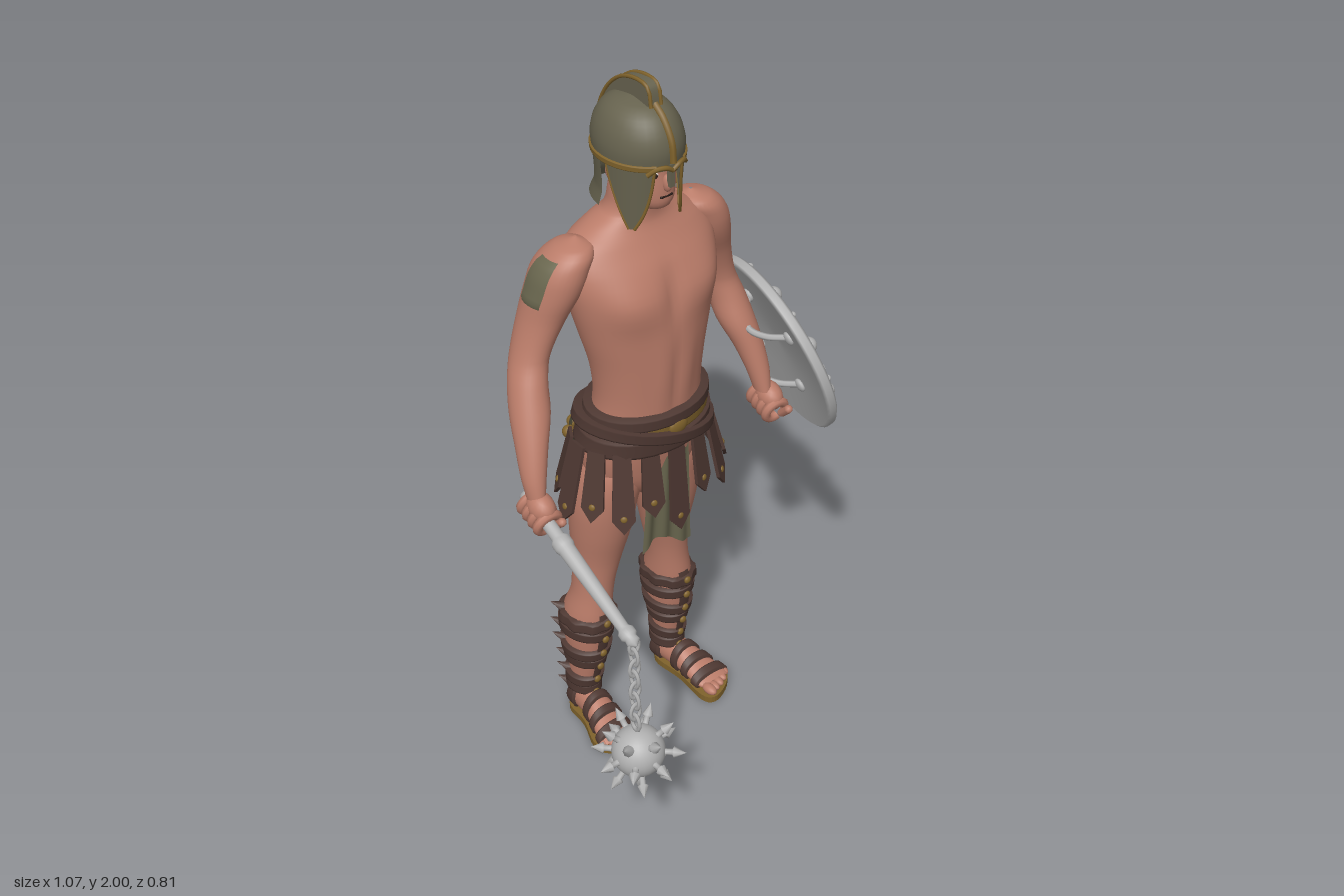
import * as THREE from 'three';

const mat = (name, color, double) => {
  const m = new THREE.MeshStandardMaterial({ color });
  m.name = name;
  if (double) m.side = THREE.DoubleSide;
  return m;
};
const skin = mat('skin', 0xba7c69), bronze = mat('dull bronze', 0x67634f, true), gold = mat('old gold', 0x80632c, true),
  leather = mat('leather', 0x4e3832, true), cloth = mat('olive cloth', 0x6a674f, true), steel = mat('steel', 0xb2b2b2),
  white = mat('eye white', 0xd9d2ca), dark = mat('dark', 0x2c1e1a);

const V = (x, y, z) => new THREE.Vector3(x, y, z);
const bell = (x, c, w) => Math.exp(-(((x - c) / w) ** 2));

function add(parent, name, geo, material, x = 0, y = 0, z = 0) {
  const m = new THREE.Mesh(geo, material);
  m.name = name;
  m.position.set(x, y, z);
  parent.add(m);
  return m;
}

// Surface from a rule fn(u, v) -> [x, y, z]
function grid(fn, nu, nv, wrap = false) {
  const pos = [], idx = [], cols = wrap ? nu : nu + 1;
  for (let j = 0; j <= nv; j++) for (let i = 0; i < cols; i++) pos.push(...fn(i / nu, j / nv));
  for (let j = 0; j < nv; j++) for (let i = 0; i < nu; i++) {
    const k = (i + 1) % cols, a = j * cols + i, b = j * cols + k, c = b + cols, d = a + cols;
    idx.push(a, b, c, a, c, d);
  }
  const g = new THREE.BufferGeometry();
  g.setAttribute('position', new THREE.Float32BufferAttribute(pos, 3));
  g.setIndex(idx);
  g.computeVertexNormals();
  return g;
}

// Smooth cross-section [y, cx, cz, rx, rz] of a row list at height y
function at(rows, y) {
  let i = 0;
  while (i < rows.length - 2 && y > rows[i + 1][0]) i++;
  const p = rows[i], q = rows[i + 1], o = rows[i - 1] || p, r = rows[i + 2] || q;
  const h = q[0] - p[0], t = (y - p[0]) / h, t2 = t * t, t3 = t2 * t;
  return p.map((v, k) => {
    const m0 = (q[k] - o[k]) / (q[0] - o[0]) * h, m1 = (r[k] - v) / (r[0] - p[0]) * h;
    return v * (2 * t3 - 3 * t2 + 1) + m0 * (t3 - 2 * t2 + t) + q[k] * (3 * t2 - 2 * t3) + m1 * (t3 - t2);
  });
}

// Skin over elliptic sections; with y0/y1 it makes a raised band, with a0/a1 an open panel
function loft(rows, { y0, y1, off = 0, a0, a1, tilt = 0, bump, seg = 32 } = {}) {
  const ys = [];
  if (y0 !== undefined) for (let k = 0; k <= 10; k++) ys.push(y0 + (y1 - y0) * k / 10);
  else {
    for (let i = 0; i < rows.length - 1; i++) for (let k = 0; k < 4; k++) ys.push(rows[i][0] + (rows[i + 1][0] - rows[i][0]) * k / 4);
    ys.push(rows[rows.length - 1][0]);
  }
  const full = a0 === undefined, s = full ? -Math.PI : a0, e = full ? Math.PI : a1, n = ys.length - 1;
  return grid((u, v) => {
    const a = s + (e - s) * u, y = ys[Math.round(v * n)], [, cx, cz, rx, rz] = at(rows, y);
    const d = (bump ? bump(a, y) : 0) + off * Math.min(1, 5 * Math.sin(Math.PI * v));
    const x = cx + (Math.max(rx, 0.001) + d) * Math.sin(a);
    return [x, y + tilt * x, cz + (Math.max(rz, 0.001) + d) * Math.cos(a)];
  }, seg, n, full);
}

const tube = (pts, r) => new THREE.TubeGeometry(new THREE.CatmullRomCurve3(pts.map(p => V(...p))), 24, r, 6);
const ball = (r, sx = 1, sy = 1, sz = 1) => new THREE.SphereGeometry(r, 16, 12).scale(sx, sy, sz);
const lathe = (pts, n = 24) => new THREE.LatheGeometry(pts.map(p => new THREE.Vector2(...p)), n);
const shift = (rows, s, fn = y => 0) => rows.map(r => [r[0], s * (r[1] + fn(r[0])), ...r.slice(2)]);
const aim = (obj, from, dir) => obj.quaternion.setFromUnitVectors(from, dir.clone().normalize());

const torsoRows = [[.79, 0, -.22, .03, .05], [.86, 0, -.22, .14, .11], [.95, 0, -.21, .175, .125], [1.05, 0, -.19, .163, .12],
  [1.15, 0, -.175, .153, .113], [1.25, 0, -.173, .163, .118], [1.35, 0, -.18, .188, .128], [1.45, 0, -.19, .212, .132],
  [1.53, 0, -.205, .222, .12], [1.59, 0, -.22, .2, .1], [1.63, 0, -.22, .135, .08], [1.66, 0, -.21, .085, .068],
  [1.72, 0, -.2, .072, .066], [1.78, 0, -.19, .06, .06]];
const armRows = [[1.0, .405, -.115, .02, .028], [1.06, .395, -.135, .031, .035], [1.13, .375, -.165, .04, .045], [1.2, .35, -.2, .05, .055],
  [1.27, .33, -.23, .048, .055], [1.33, .305, -.25, .047, .056], [1.42, .265, -.25, .056, .068], [1.5, .235, -.235, .066, .08],
  [1.56, .215, -.225, .066, .078], [1.605, .19, -.215, .05, .055], [1.625, .18, -.215, .004, .004]];
const legRows = [[.06, .155, -.295, .036, .045], [.12, .155, -.295, .036, .045], [.2, .152, -.287, .044, .055], [.3, .148, -.283, .058, .072],
  [.38, .145, -.278, .062, .077], [.46, .135, -.265, .056, .064], [.52, .128, -.262, .058, .066], [.6, .119, -.256, .068, .074],
  [.7, .113, -.245, .083, .09], [.8, .108, -.235, .09, .1], [.9, .093, -.225, .086, .105], [.98, .085, -.215, .05, .07]];
const footRows = [[-.347, .155, -.035, .004, .008], [-.335, .155, -.042, .028, .03], [-.29, .158, -.055, .038, .045], [-.23, .163, -.055, .04, .045],
  [-.17, .172, -.042, .047, .03], [-.12, .18, -.032, .053, .018], [-.1, .182, -.03, .045, .012]];
const headRows = [[1.672, 0, -.14, .008, .01], [1.69, 0, -.152, .045, .056], [1.73, 0, -.17, .066, .082], [1.79, 0, -.188, .075, .096],
  [1.86, 0, -.2, .08, .105], [1.92, 0, -.2, .04, .05]];
const domeRows = [[1.8, 0, -.195, .1, .124], [1.85, 0, -.195, .101, .128], [1.9, 0, -.195, .086, .11], [1.935, 0, -.195, .054, .07], [1.95, 0, -.195, .004, .004]];

// Muscle relief of chest, abdomen, back and seat
function muscles(a, y) {
  const b = Math.abs(a), back = Math.PI;
  return bell(y, 1.46, .065) * (.016 * bell(b, .55, .38) - .012 * bell(b, 0, .12))
    + bell(y, 1.22, .12) * (.005 * bell(b, .25, .15) - .005 * bell(b, 0, .06))
    - bell(y, 1.32, .22) * .02 * bell(b, back, .16) + bell(y, 1.46, .1) * .012 * bell(b, 2.5, .35)
    + bell(y, .89, .07) * .028 * bell(b, 2.65, .38);
}

function fist(parent, name, x, y, z, dir) {
  const g = new THREE.Group();
  g.name = name;
  g.position.set(x, y, z);
  aim(g, V(0, 0, 1), dir);
  add(g, 'palm', ball(.04, .85, .95, 1.15), skin, 0, .022, 0);
  for (let i = 0; i < 4; i++) add(g, 'finger', new THREE.TorusGeometry(.03, .013, 8, 16, 5.2), skin, 0, -.002, -.036 + i * .024);
  add(g, 'thumb', new THREE.CapsuleGeometry(.012, .04, 4, 8), skin, .025, -.005, .05).rotation.x = .5;
  parent.add(g);
}

function leg(body, s) {
  const rows = shift(legRows, s), fr = shift(footRows, s);
  add(body, 'leg', loft(rows), skin);
  add(body, 'foot', loft(fr).rotateX(Math.PI / 2), skin);
  for (let i = 0; i < 5; i++) add(body, 'toe', ball(i ? .012 : .016, 1, .9, 1.7), skin, s * (.145 + i * .0205), .03, -.088 - i * i * .0022);
  const outline = new THREE.Shape();
  outline.setFromPoints(new THREE.SplineCurve([[.155, -.352], [.198, -.31], [.208, -.23], [.24, -.14], [.215, -.09], [.15, -.06], [.118, -.09],
    [.125, -.2], [.118, -.3], [.155, -.352]].map(p => new THREE.Vector2(s * p[0], p[1]))).getPoints(40));
  add(body, 'sole', new THREE.ExtrudeGeometry(outline, { depth: .02, bevelEnabled: false }).rotateX(Math.PI / 2), gold, 0, .02, 0);
  for (const [z, h] of [[-.145, .028], [-.19, .024], [-.235, .024], [-.335, .05]])
    add(body, 'sandalStrap', loft(fr, { y0: z, y1: z + h, off: .008 }).rotateX(Math.PI / 2), leather);
  add(body, 'shinTongue', loft(rows, { y0: .07, y1: .41, off: .009, a0: -.28, a1: .28, seg: 6 }), leather);
  [.385, .325, .268, .21, .152, .098].forEach((y, i) => {
    add(body, 'legStrap', loft(rows, { y0: y - .019, y1: y + .019, off: .013, tilt: (i % 2 ? .06 : -.06) * s, bump: i ? null : a => .004 * Math.sin(9 * a) }), leather);
    const [, cx, cz, rx, rz] = at(rows, y), a = s * 2.25;
    const tab = add(body, 'strapTab', new THREE.ConeGeometry(.016, .04, 6), leather, cx + (rx + .018) * Math.sin(a), y + .01, cz + (rz + .018) * Math.cos(a));
    aim(tab, V(0, 1, 0), V(Math.sin(a), .6, Math.cos(a)));
    add(body, 'buckle', ball(.011, 1, 1, .6), gold, cx, y, cz + rz + .014);
  });
}

function helmet(body) {
  add(body, 'helmetDome', loft(domeRows), bronze);
  add(body, 'helmetRim', loft(domeRows, { y0: 1.802, y1: 1.818, off: .005, a0: .4, a1: 2 * Math.PI - .4 }), gold);
  // Flared neck guard
  add(body, 'neckGuard', loft([[1.675, 0, -.2, .1, .138], [1.72, 0, -.195, .094, .122], [1.81, 0, -.195, .099, .124]], { a0: 1.75, a1: 2 * Math.PI - 1.75 }), bronze);
  for (const s of [-1, 1]) {
    const guard = (u, v) => {
      const ain = .42 + .1 * v + .33 * v * v * v, aout = 1.55 - .25 * v - .3 * v * v, a = s * (ain + (aout - ain) * u);
      return [(.101 - .008 * v) * Math.sin(a), 1.815 - .175 * v, -.195 + (.125 - .02 * v) * Math.cos(a)];
    };
    const edge = u => [0, .2, .4, .6, .8, 1].map(v => guard(u, v));
    add(body, 'cheekGuard', grid(guard, 10, 12), bronze);
    add(body, 'cheekTrim', tube(edge(0), .004), gold);
    add(body, 'cheekTrim', tube(edge(1), .003), gold);
    add(body, 'browTrim', tube([[0, 1.8, -.066], [s * .02, 1.812, -.066], [s * .042, 1.81, -.076], [s * .058, 1.795, -.09]], .006), gold);
    add(body, 'ear', ball(.022, .5, 1.2, .9), skin, s * .077, 1.77, -.2);
    add(body, 'eye', ball(.012, 1.2, .6, .6), white, s * .03, 1.782, -.1);
    add(body, 'pupil', ball(.006, 1, 1, .6), dark, s * .03, 1.782, -.093);
    add(body, 'eyebrow', new THREE.CapsuleGeometry(.005, .025, 3, 6).rotateZ(Math.PI / 2), dark, s * .03, 1.797, -.094);
  }
  add(body, 'noseGuard', new THREE.BoxGeometry(.014, .06, .012), bronze, 0, 1.785, -.073);
  // Crest with gilded edge
  const crest = new THREE.Shape();
  const outer = [[.125, 1.94], [.135, 1.985], [.17, 1.995], [.235, 1.98], [.295, 1.925], [.33, 1.84], [.325, 1.755]];
  crest.moveTo(...outer[0]);
  crest.splineThru(outer.slice(1).map(p => new THREE.Vector2(...p)));
  crest.lineTo(.3, 1.765);
  crest.splineThru([[.3, 1.84], [.25, 1.9], [.19, 1.93], [.125, 1.94]].map(p => new THREE.Vector2(...p)));
  add(body, 'crest', new THREE.ExtrudeGeometry(crest, { depth: .03, bevelEnabled: false }).rotateY(Math.PI / 2), bronze, -.015, 0, 0);
  for (const x of [-.015, .015]) add(body, 'crestTrim', tube(outer.map(p => [x, p[1], -p[0]]), .005), gold);
  add(body, 'browRidge', tube([[0, 1.82, -.064], [0, 1.87, -.07], [0, 1.92, -.1], [0, 1.945, -.13]], .009), gold);
}

function skirt(body) {
  // Belts
  add(body, 'mainBelt', loft(torsoRows, { y0: 1.0, y1: 1.06, off: .026 }), leather);
  add(body, 'goldBand', loft(torsoRows, { y0: 1.055, y1: 1.095, off: .018 }), gold);
  add(body, 'upperBelt', loft(torsoRows, { y0: 1.085, y1: 1.125, off: .022 }), leather);
  add(body, 'crossBelt', loft(torsoRows, { y0: 1.025, y1: 1.065, off: .036, tilt: -.25 }), leather);
  add(body, 'buckle', ball(.03, 1, .8, .4), gold, 0, 1.075, -.052);
  // Hanging leather strips with pointed ends
  for (let i = -5; i <= 5; i++) {
    const a = i * .4, len = i ? (i % 2 ? .2 : .23) : .28, w = .031;
    const sh = new THREE.Shape();
    sh.setFromPoints([[-w * .75, 0], [-w, -len + .04], [0, -len], [w, -len + .04], [w * .75, 0]].map(p => new THREE.Vector2(...p)));
    const g = add(body, 'skirtStrip', new THREE.ExtrudeGeometry(sh, { depth: .009, bevelEnabled: false }), leather, .195 * Math.sin(a), 1.02, -.205 + .14 * Math.cos(a));
    g.rotation.set(-.06 - .2 * Math.abs(Math.sin(a)), Math.atan2(Math.sin(a) / .195, Math.cos(a) / .14), 0, 'YXZ');
    add(g, 'stripStud', ball(.009, 1, 1, .5), gold, 0, -len + .045, .009);
  }
  // Loincloth in front, draped cloth behind
  add(body, 'frontCloth', grid((u, v) => {
    const x = (u - .5) * (.13 + .04 * (1 - v));
    return [x, .66 + .36 * v + .03 * (1 - v) * Math.sin(u * 5), -.085 + .005 * Math.sin(u * 18) - .015 * (1 - v)];
  }, 24, 6), cloth);
  add(body, 'backCloth', grid((u, v) => {
    const a = 2.15 + 1.98 * u, r = .008 * (1 - v) * Math.sin(u * 26);
    return [(.215 - .015 * v + r) * Math.sin(a), .76 + .27 * v + .02 * (1 - v) * Math.sin(u * 9), -.215 + (.15 - .01 * v + r) * Math.cos(a)];
  }, 48, 8), cloth);
  for (let i = 0; i < 8; i++) {
    const a = 2.2 + i * .27;
    add(body, 'beltDisc', ball(.018), gold, .202 * Math.sin(a), .995, -.21 + .152 * Math.cos(a));
  }
}

function shield(root) {
  const g = new THREE.Group();
  g.name = 'shield';
  g.position.set(.415, 1.11, -.14);
  aim(g, V(0, 1, 0), V(.93, .33, .18));
  add(g, 'disc', lathe([[0, -.004], [.15, -.01], [.258, -.028], [.267, -.022], [.267, -.004], [.258, .004], [.24, .002], [.234, -.006], [.18, .005],
    [.125, .012], [.12, .022], [.108, .022], [.102, .014], [.09, .016], [.086, .024], [.076, .024], [.07, .016], [0, .02]], 56), steel);
  for (let i = 0; i < 8; i++) {
    const a = i * Math.PI / 4 + .1, put = (name, geo, r, h, b) => add(g, name, geo, steel, r * Math.sin(b), h, r * Math.cos(b));
    put('boss', ball(.023), .208, .006, a);
    put('rimStud', ball(.009), .25, .003, a + .39);
    if (i % 2) for (const o of [-.08, .08]) put('radialRidge', new THREE.BoxGeometry(.012, .016, .1), .18, .006, a + .39 + o).rotation.y = a + .39 + o;
    else put('smallStud', ball(.01), .16, .008, a + .39);
    put('mane', ball(.017, 1, .8, 1), .048, .02, a);
  }
  // Beast face relief
  add(g, 'faceRelief', ball(.042, 1, .5, 1), steel, 0, .02, 0);
  add(g, 'snout', ball(.018), steel, -.012, .036, 0);
  for (const s of [-1, 1]) add(g, 'browRelief', ball(.012), steel, .016, .037, s * .016);
  // Arm loop and hand grip behind
  for (const x of [-.11, .1]) {
    add(g, 'grip', tube([[x, -.015, -.09], [x, -.055, -.05], [x, -.075, 0], [x, -.055, .05], [x, -.015, .09]], .009), steel);
    for (const s of [-1, 1]) add(g, 'gripRivet', ball(.02, 1, .5, 1), steel, x, -.014, s * .095);
  }
  root.add(g);
}

function flail(root) {
  const g = new THREE.Group();
  g.name = 'flail';
  const A = V(-.408, .985, -.16), B = V(-.43, .815, .28), dir = B.clone().sub(A);
  const h = add(g, 'handle', lathe([[0, -.015], [.02, -.008], [.023, .006], [.017, .02], [.018, .14], [.026, .15], [.026, .17], [.022, .18], [.019, .3], [.015, .43],
    [.022, .44], [.022, .455], [.016, .462], [.018, .475], [0, .488]]), steel, ...A.toArray());
  aim(h, V(0, 1, 0), dir);
  for (let i = 0; i < 8; i++)
    add(g, 'chainLink', new THREE.TorusGeometry(.015, .005, 6, 14).scale(1, 1.6, 1), steel, -.428, .8 - i * .037, .28).rotation.y = i * Math.PI / 2;
  const c = V(-.424, .443, .283);
  add(g, 'spikedBall', new THREE.SphereGeometry(.069, 28, 20), steel, ...c.toArray());
  const spike = lathe([[.012, .06], [.008, .072], [.008, .086], [.015, .09], [0, .122]], 8);
  const rings = [[-90, 1], [-42, 6], [0, 8], [42, 6]];
  for (const [lat, n] of rings) for (let i = 0; i < n; i++) {
    const p = lat * Math.PI / 180, a = (i + (lat === -42 ? .5 : 0)) * 2 * Math.PI / n;
    const m = add(g, 'spike', spike, steel, ...c.toArray());
    aim(m, V(0, 1, 0), V(Math.cos(p) * Math.sin(a), Math.sin(p), Math.cos(p) * Math.cos(a)));
    if (lat === -90) m.scale.y = 1.12;
  }
  root.add(g);
}

export function createModel() {
  const root = new THREE.Group(), body = new THREE.Group();
  root.name = 'armouredFighter';
  body.name = 'body';
  body.position.x = -.01;
  root.add(body);
  add(body, 'torso', loft(torsoRows, { bump: muscles, seg: 72 }), skin);
  add(body, 'head', loft(headRows), skin);
  add(body, 'nose', ball(.014, .8, 1.6, 1.1), skin, 0, 1.757, -.088);
  add(body, 'mouth', new THREE.CapsuleGeometry(.004, .03, 3, 6).rotateZ(Math.PI / 2), dark, 0, 1.722, -.091);
  helmet(body);
  // The shield arm hangs a little closer to the body
  const rightArm = shift(armRows, -1), leftArm = shift(armRows, 1, y => -.15 * Math.max(0, 1.4 - y));
  add(body, 'rightArm', loft(rightArm), skin);
  add(body, 'leftArm', loft(leftArm), skin);
  add(body, 'shoulderPatch', loft(rightArm, { y0: 1.47, y1: 1.59, off: .005, a0: -2, a1: -1.1, seg: 10 }), cloth);
  fist(root, 'rightHand', -.411, .966, -.11, V(-.02, -.37, 1));
  fist(root, 'leftHand', .352, .955, -.11, V(-.1, -.3, 1));
  for (const s of [-1, 1]) leg(body, s);
  skirt(body);
  shield(root);
  flail(root);
  return root;
}
